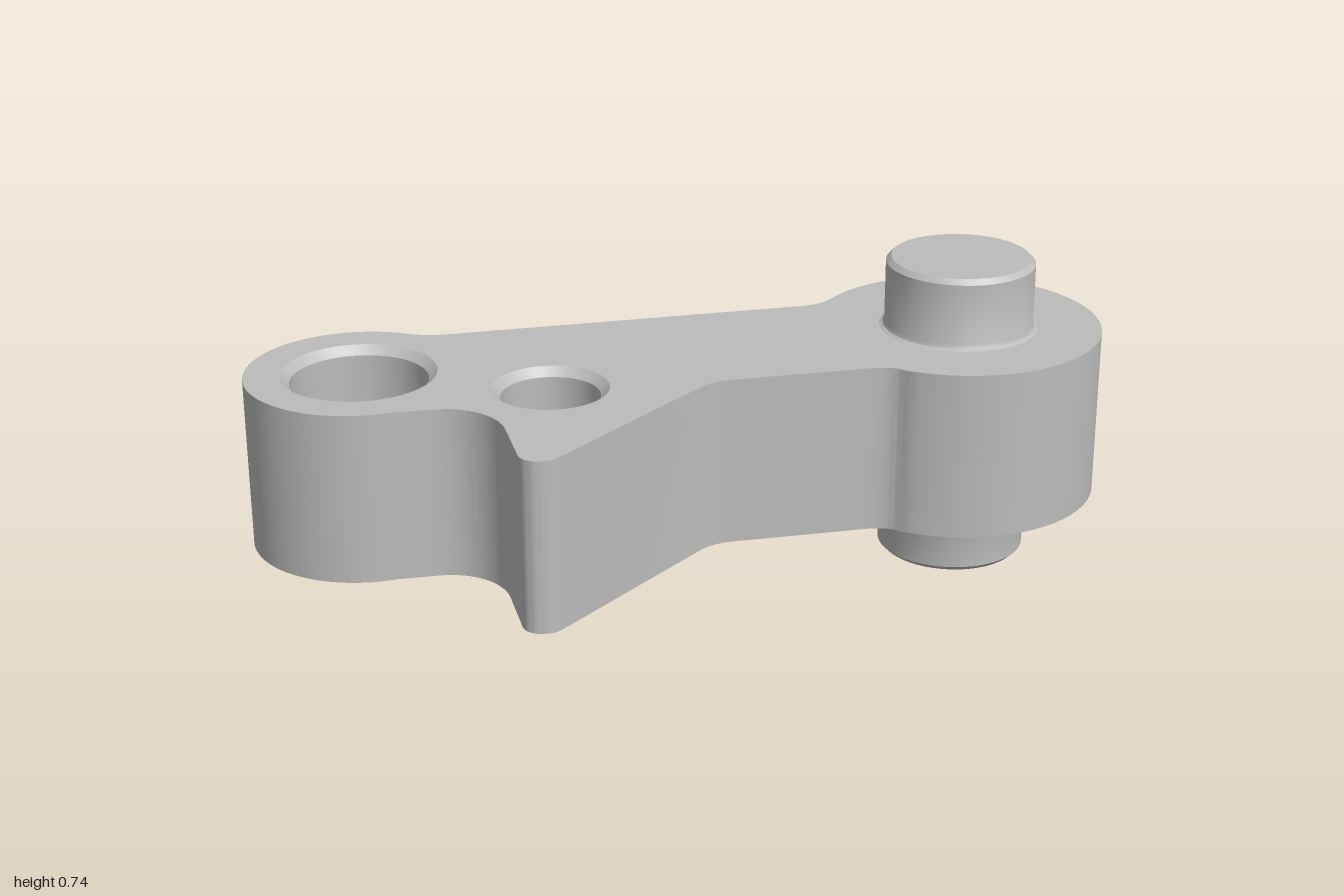
import * as THREE from 'three';
import { toCreasedNormals } from 'three/addons/utils/BufferGeometryUtils.js';

const BOTTOM = 0.166, TOP = 0.566, HEIGHT = 0.735;
const SMALL_BOSS = { x: -0.741, z: -0.183, r: 0.259 };
const BIG_BOSS = { x: 0.662, z: -0.015, r: 0.338 };
const PIN = { x: 0.662, z: -0.012, r: 0.175, flare: 0.187 };
const HOLES = [
  { name: 'largeBore', x: -0.741, z: -0.183, r: 0.157, rim: 0.177 },
  { name: 'smallBore', x: -0.361, z: 0.05, r: 0.112, rim: 0.132 },
];

// Arm outline, drawn with x across and z as the second axis
function armOutline() {
  const rad = THREE.MathUtils.degToRad;
  const s = new THREE.Shape();
  s.absarc(SMALL_BOSS.x, SMALL_BOSS.z, SMALL_BOSS.r, rad(88), rad(308), false);
  s.bezierCurveTo(-0.545, -0.36, -0.53, -0.355, -0.49, -0.35);
  s.lineTo(0.35, -0.252);
  s.bezierCurveTo(0.4, -0.246, 0.42, -0.255, 0.467, -0.292);
  s.absarc(BIG_BOSS.x, BIG_BOSS.z, BIG_BOSS.r, rad(235), rad(495), false);
  s.quadraticCurveTo(0.405, 0.19, 0.35, 0.183);
  s.lineTo(0.04, 0.144);
  s.quadraticCurveTo(-0.005, 0.137, -0.045, 0.16);
  // Pointed claw
  s.lineTo(-0.455, 0.43);
  s.bezierCurveTo(-0.49, 0.455, -0.54, 0.43, -0.534, 0.39);
  s.lineTo(-0.52, 0.245);
  s.bezierCurveTo(-0.515, 0.17, -0.56, 0.1, -0.645, 0.088);
  s.closePath();
  return s;
}

// Flat top or bottom face, with openings for the bores and the pin
function faceGeometry(outline, y, up) {
  const shape = outline.clone();
  const openings = HOLES.map((h) => [h.x, h.z, h.rim]);
  openings.push([PIN.x, PIN.z, PIN.flare]);
  for (const [x, z, r] of openings) {
    shape.holes.push(new THREE.Path().absarc(x, z, r, 0, Math.PI * 2, true));
  }
  const geo = new THREE.ShapeGeometry(shape, 24);
  geo.rotateX(Math.PI / 2);
  if (up) {
    geo.index.array.reverse();
    const n = geo.attributes.normal;
    for (let i = 0; i < n.count; i++) n.setXYZ(i, 0, 1, 0);
  }
  return geo.translate(0, y, 0);
}

// Upright wall: a flat grid wrapped round the outline
function wallGeometry(outline) {
  const pts = outline.getPoints(24).filter((p, i, a) => !i || p.distanceTo(a[i - 1]) > 1e-4);
  if (pts[0].distanceTo(pts[pts.length - 1]) > 1e-4) pts.push(pts[0].clone());
  pts.reverse();
  const n = pts.length - 1;
  const geo = new THREE.PlaneGeometry(1, 1, n, 1);
  const pos = geo.attributes.position;
  for (let i = 0; i < pos.count; i++) {
    const p = pts[i % (n + 1)];
    pos.setXYZ(i, p.x, i <= n ? TOP : BOTTOM, p.y);
  }
  return toCreasedNormals(geo, 0.7);
}

function lathe(profile) {
  const pts = profile.map(([r, y]) => new THREE.Vector2(r, y));
  return toCreasedNormals(new THREE.LatheGeometry(pts, 48), 0.5);
}

export function createModel() {
  const steel = new THREE.MeshStandardMaterial({ color: 0xbcbcbc });
  steel.name = 'grey steel';
  const model = new THREE.Group();
  model.name = 'leverArm';
  const add = (name, geo, x = 0, z = 0) => {
    const mesh = new THREE.Mesh(geo, steel);
    mesh.name = name;
    mesh.position.set(x, 0, z);
    model.add(mesh);
  };

  // Arm body
  const outline = armOutline();
  add('armTop', faceGeometry(outline, TOP, true));
  add('armBottom', faceGeometry(outline, BOTTOM, false));
  add('armWall', wallGeometry(outline));

  // Chamfered bores, profiles run downwards so they face inwards
  for (const h of HOLES) {
    const c = h.rim - h.r;
    add(h.name, lathe([[h.rim, TOP], [h.r, TOP - c], [h.r, BOTTOM + c], [h.rim, BOTTOM]]), h.x, h.z);
  }

  // Pin ends with a chamfered tip and a small fillet at the arm
  const c = 0.012;
  add('lowerPin', lathe([
    [0, 0], [PIN.r - c, 0], [PIN.r, c], [PIN.r, BOTTOM - 0.012],
    [PIN.r + 0.004, BOTTOM - 0.004], [PIN.flare, BOTTOM],
  ]), PIN.x, PIN.z);
  add('upperPin', lathe([
    [PIN.flare, TOP], [PIN.r + 0.004, TOP + 0.004], [PIN.r, TOP + 0.012],
    [PIN.r, HEIGHT - c], [PIN.r - c, HEIGHT], [0, HEIGHT],
  ]), PIN.x, PIN.z);
  return model;
}
